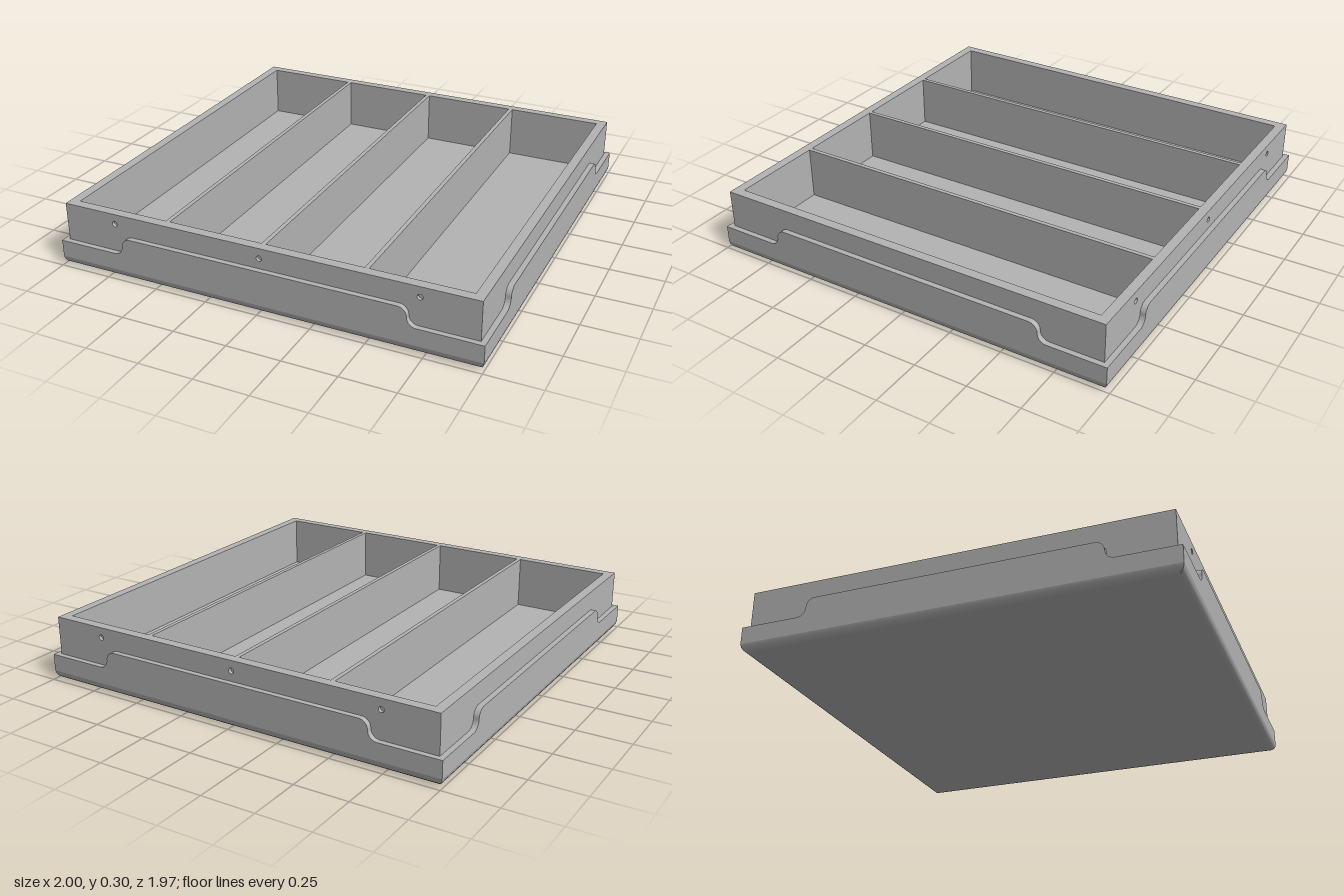
import * as THREE from 'three';
import { toCreasedNormals } from 'three/addons/utils/BufferGeometryUtils.js';

const W = 1.0, D = 0.985;        // half size of the skirt
const BW = 0.975, BD = 0.96;     // half size of the tray body
const LIP = 0.04, FLOOR = 0.05, TOP = 0.3;

function rect(Type, x0, y0, x1, y1) {
  const s = new Type();
  s.moveTo(x0, y0);
  s.lineTo(x1, y0);
  s.lineTo(x1, y1);
  s.lineTo(x0, y1);
  s.closePath();
  return s;
}

function extrude(shape, depth) {
  return new THREE.ExtrudeGeometry(shape, { depth, bevelEnabled: false, curveSegments: 12 });
}

// Skirt panel outline: low at the ends, raised in the middle by S-shaped steps
function skirtShape(half) {
  const low = 0.12, high = 0.204, step = 0.672, r = (high - low) / 2;
  const s = new THREE.Shape();
  s.moveTo(-half, LIP);
  s.lineTo(half, LIP);
  s.lineTo(half, low);
  s.lineTo(step + r, low);
  s.absarc(step + r, low + r, r, -Math.PI / 2, -Math.PI, true);
  s.absarc(step - r, high - r, r, 0, Math.PI / 2, false);
  s.lineTo(-step + r, high);
  s.absarc(-step + r, high - r, r, Math.PI / 2, Math.PI, false);
  s.absarc(-step - r, low + r, r, 0, -Math.PI / 2, true);
  s.lineTo(-half, low);
  s.closePath();
  return s;
}

// Bottom slab with a rounded lower edge, lofted from rectangles
function baseGeometry() {
  const pos = [], idx = [];
  const sections = [[0, 0.035], [0.005, 0.021], [0.013, 0.01], [0.025, 0.003], [LIP, 0]];
  for (const [y, inset] of sections) {
    const x = W - inset, z = D - inset;
    pos.push(-x, y, z, x, y, z, x, y, -z, -x, y, -z);
  }
  for (let i = 0; i < sections.length - 1; i++) {
    for (let j = 0; j < 4; j++) {
      const a = i * 4 + j, b = i * 4 + (j + 1) % 4;
      idx.push(a, b, b + 4, a, b + 4, a + 4);
    }
  }
  const t = (sections.length - 1) * 4;
  idx.push(0, 2, 1, 0, 3, 2, t, t + 1, t + 2, t, t + 2, t + 3);
  const g = new THREE.BufferGeometry();
  g.setAttribute('position', new THREE.Float32BufferAttribute(pos, 3));
  g.setIndex(idx);
  return toCreasedNormals(g, 0.6);
}

export function createModel() {
  const group = new THREE.Group();
  const grey = new THREE.MeshStandardMaterial({ color: 0xb3b3b3 });
  grey.name = 'grey';
  const add = (name, geometry) => {
    const mesh = new THREE.Mesh(geometry, grey);
    mesh.name = name;
    group.add(mesh);
    return mesh;
  };

  add('base', baseGeometry());

  // Walls and dividers: one block with four compartments cut through
  const face = 0.015, inner = BD - face;
  const plan = rect(THREE.Shape, -BW, -inner, BW, inner);
  const cell = 0.45, gap = 0.02;
  for (let i = 0; i < 4; i++) {
    const x = -0.93 + i * (cell + gap);
    plan.holes.push(rect(THREE.Path, x, -0.915, x + cell, 0.915));
  }
  const walls = extrude(plan, TOP - FLOOR);
  walls.rotateX(-Math.PI / 2);
  add('wallsAndDividers', walls).position.y = FLOOR;

  const floor = new THREE.BoxGeometry(BW * 2, FLOOR - LIP, inner * 2);
  add('floor', floor).position.y = (FLOOR + LIP) / 2;

  // Front and back faces with three blind screw holes each
  const plate = rect(THREE.Shape, -BW, LIP, BW, TOP);
  for (const x of [-0.718, 0, 0.718]) {
    const hole = new THREE.Path();
    hole.absarc(x, 0.252, 0.013, 0, Math.PI * 2, true);
    plate.holes.push(hole);
  }
  for (const [name, turn] of [['frontFace', 0], ['backFace', Math.PI]]) {
    const g = extrude(plate, face);
    g.translate(0, 0, inner);
    g.rotateY(turn);
    add(name, g);
  }

  // Skirt panels around the four sides
  const sides = [
    ['frontSkirt', 0, W, D, BD],
    ['leftSkirt', Math.PI / 2, BD, W, BW],
    ['backSkirt', Math.PI, W, D, BD],
    ['rightSkirt', -Math.PI / 2, BD, W, BW],
  ];
  for (const [name, turn, half, outer, inside] of sides) {
    const g = extrude(skirtShape(half), outer - inside);
    g.translate(0, 0, inside);
    g.rotateY(turn);
    add(name, toCreasedNormals(g, 0.6));
  }

  return group;
}
